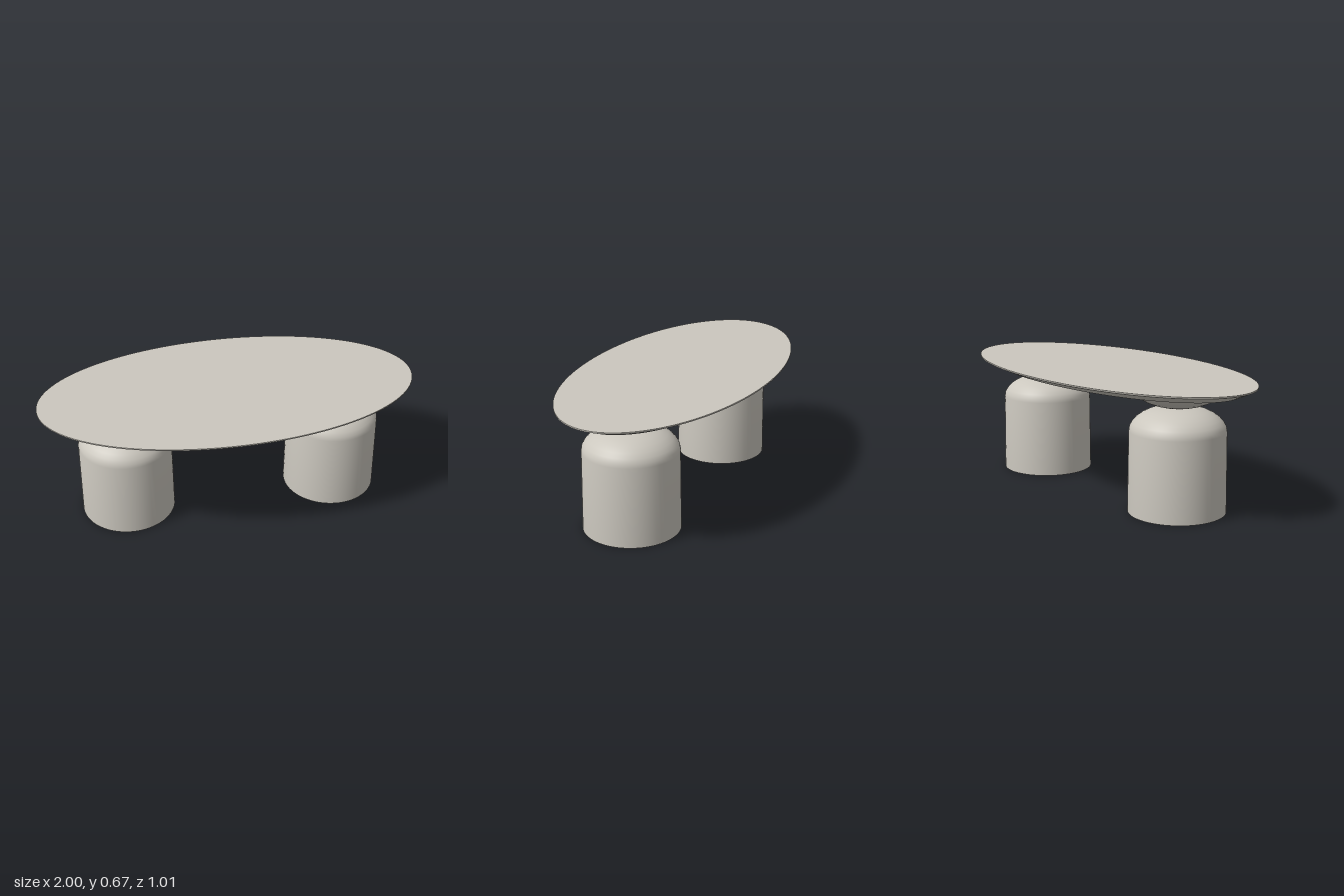
import * as THREE from 'three';
import { toCreasedNormals } from 'three/addons/utils/BufferGeometryUtils.js';

// Revolved solid from [radius, y] pairs listed bottom to top
function turned(profile, segments) {
  return new THREE.LatheGeometry(profile.map(([r, y]) => new THREE.Vector2(r, y)), segments);
}

export function createModel() {
  const group = new THREE.Group();
  const stone = new THREE.MeshStandardMaterial({ color: 0xcbc7be });
  stone.name = 'warm grey stone';

  const add = (name, geometry, x = 0, z = 0) => {
    const mesh = new THREE.Mesh(geometry, stone);
    mesh.name = name;
    mesh.position.set(x, 0, z);
    group.add(mesh);
  };

  // Oval top: round slab narrowed in z so the bevel keeps an even width
  const slab = turned([[0, 0.627], [0.918, 0.627], [1, 0.663], [1, 0.67], [0, 0.67]], 128);
  const pos = slab.attributes.position;
  for (let i = 0; i < pos.count; i++) {
    const x = pos.getX(i), z = pos.getZ(i), r = Math.hypot(x, z);
    pos.setZ(i, r > 0.5 ? (z / r) * (r - 0.495) : 0);
  }
  add('tableTop', toCreasedNormals(slab, 0.3));

  // Drum leg with a domed shoulder
  const leg = toCreasedNormals(turned([
    [0, 0], [0.252, 0], [0.247, 0.42], [0.243, 0.442], [0.231, 0.463], [0.212, 0.484],
    [0.185, 0.504], [0.15, 0.521], [0.11, 0.533], [0.065, 0.54], [0, 0.541],
  ], 64), 0.7);

  // Shallow bowl between leg and top
  const bowl = toCreasedNormals(turned([
    [0, 0.539], [0.05, 0.54], [0.095, 0.547], [0.135, 0.558], [0.17, 0.573],
    [0.2, 0.591], [0.222, 0.609], [0.238, 0.629],
  ], 64), 0.7);

  for (const [side, x] of [['right', -0.56], ['left', 0.576]]) {
    add(side + 'Leg', leg, x, 0.004);
    add(side + 'Bowl', bowl, x, 0.004);
  }
  return group;
}
